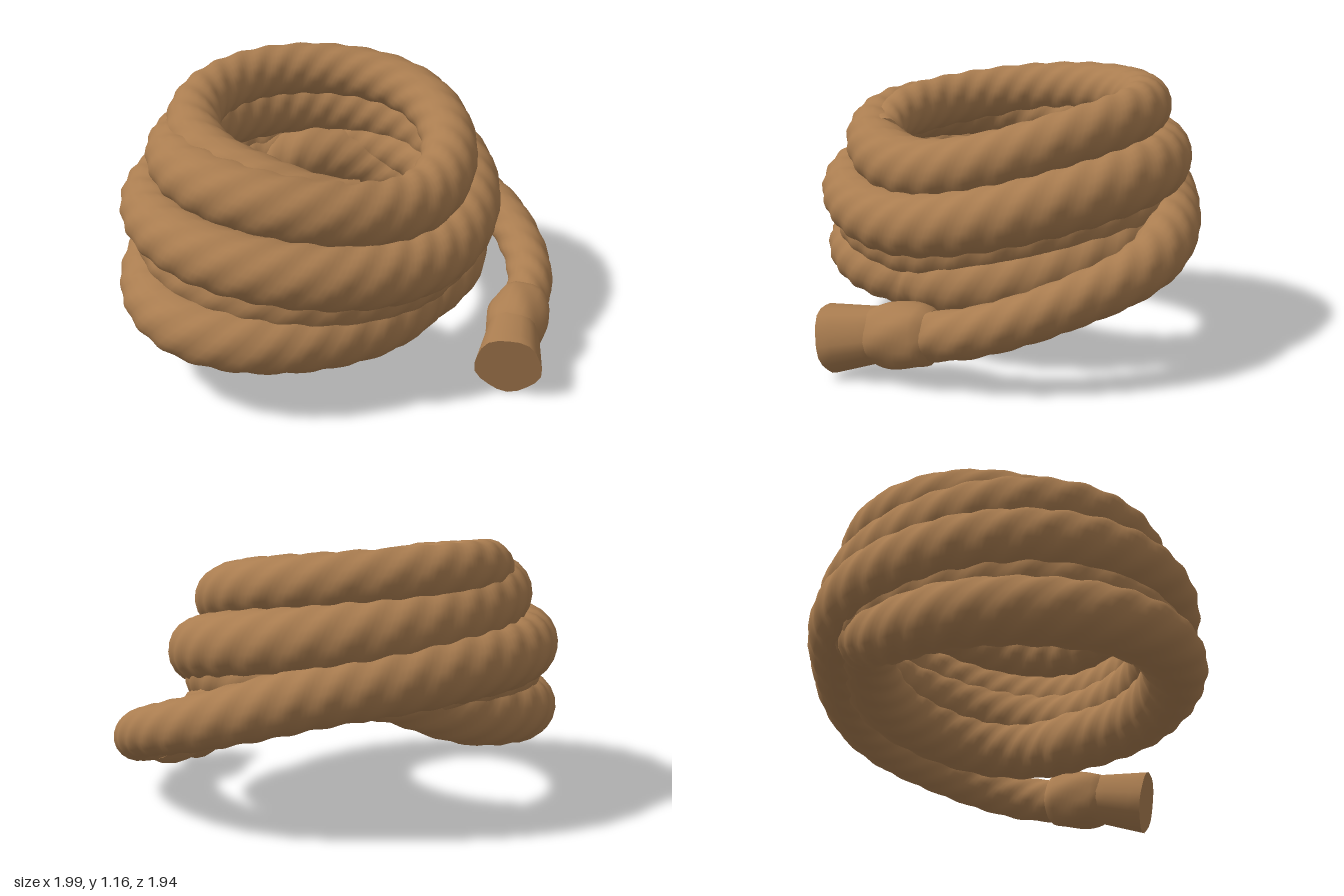
import * as THREE from 'three';

const rope = new THREE.MeshStandardMaterial({ color: 0xaa7d50 });
rope.name = 'tan rope';

const SIDES = 20;
const LOBES = 5;
const CENTRE_Z = -0.17;

// Sweep a twisted, lobed section along a curve.
function sweep(name, curve, segments, radiusAt, { twist = 44, lump = 0.033, closed = false } = {}) {
  const frames = curve.computeFrenetFrames(segments, closed);
  // whole number of twists so that a closed ring meets itself
  const turns = Math.round((curve.getLength() * twist) / (Math.PI * 2)) * Math.PI * 2;
  const pos = [], index = [];
  const rings = closed ? segments : segments + 1;
  for (let i = 0; i < rings; i++) {
    const t = i / segments;
    const p = curve.getPointAt(t);
    for (let j = 0; j < SIDES; j++) {
      const a = (j / SIDES) * Math.PI * 2;
      const r = radiusAt(t) * (1 + lump * Math.cos(LOBES * a + t * turns));
      const v = p.clone()
        .addScaledVector(frames.normals[i], Math.cos(a) * r)
        .addScaledVector(frames.binormals[i], Math.sin(a) * r);
      pos.push(v.x, v.y, v.z);
    }
  }
  for (let i = 0; i < segments; i++) {
    for (let j = 0; j < SIDES; j++) {
      const k = (j + 1) % SIDES, n = (i + 1) % rings;
      const a = i * SIDES + j, b = i * SIDES + k, c = n * SIDES + j, d = n * SIDES + k;
      index.push(a, b, c, b, d, c);
    }
  }
  // flat end caps with their own vertices
  if (!closed) {
    for (const end of [0, segments]) {
      const base = pos.length / 3;
      const p = curve.getPointAt(end / segments);
      pos.push(...pos.slice(end * SIDES * 3, (end + 1) * SIDES * 3), p.x, p.y, p.z);
      for (let j = 0; j < SIDES; j++) {
        const a = base + j, b = base + ((j + 1) % SIDES);
        if (end === 0) index.push(base + SIDES, b, a);
        else index.push(base + SIDES, a, b);
      }
    }
  }
  const geo = new THREE.BufferGeometry();
  geo.setAttribute('position', new THREE.Float32BufferAttribute(pos, 3));
  geo.setIndex(index);
  geo.computeVertexNormals();
  const mesh = new THREE.Mesh(geo, rope);
  mesh.name = name;
  return mesh;
}

// Points around the coil from evenly spaced [radius, height] keys.
// Quarter 0 is the front, 1 is +x, 2 the back, 3 is -x.
function coilPoints(keys, firstQuarter, quarters, steps) {
  const spline = new THREE.SplineCurve(keys.map(([r, y]) => new THREE.Vector2(r, y)));
  const points = [];
  for (let i = 0; i <= steps; i++) {
    const k = spline.getPoint(i / steps);
    const a = (firstQuarter + (i / steps) * quarters) * Math.PI / 2;
    points.push(new THREE.Vector3(Math.sin(a) * k.x, k.y, CENTRE_Z + Math.cos(a) * k.x));
  }
  return points;
}

// One closed turn, its keys spread evenly from the front by way of +x.
function closedTurn(name, keys, radius) {
  const points = coilPoints([...keys, keys[0]], 0, 4, 24);
  points.pop();
  return sweep(name, new THREE.CatmullRomCurve3(points, true), 150, () => radius, { closed: true });
}

export function createModel() {
  const group = new THREE.Group();
  group.name = 'coiled rope';
  const V = (x, y, z) => new THREE.Vector3(x, y, z);
  const step = THREE.MathUtils.smoothstep;

  // Main rope: loose tail, then rising turns; the thinner top end sinks into the turn below
  const tail = [
    V(0.26, 0.19, 0.71), V(0.38, 0.2, 0.67), V(0.54, 0.23, 0.6), V(0.7, 0.29, 0.46), V(0.82, 0.36, 0.27),
    V(0.88, 0.42, 0.06), V(0.87, 0.47, -0.12), V(0.78, 0.53, -0.32), V(0.62, 0.59, -0.51), V(0.42, 0.635, -0.69), V(0.21, 0.66, -0.8),
  ];
  const turns = coilPoints([
    [0.67, 0.67], [0.79, 0.68], [0.64, 0.56],
    [0.69, 0.76], [0.58, 0.86], [0.66, 0.91], [0.55, 0.78],
    [0.585, 0.98], [0.55, 1.03], [0.56, 0.95], [0.57, 0.84],
  ], 2, 10, 50);
  // stop halfway along the last quarter turn
  const mainCurve = new THREE.CatmullRomCurve3([...tail, ...turns.slice(0, 49)]);
  mainCurve.arcLengthDivisions = 1200;
  group.add(sweep('coiled strand', mainCurve, 560,
    t => 0.1 + 0.035 * step(t, 0.04, 0.18) - 0.018 * step(t, 0.7, 0.8) - 0.04 * step(t, 0.96, 1)));

  // Lowest turn, rising behind the tail at the back right
  group.add(closedTurn('bottom turn', [
    [0.53, 0.31], [0.62, 0.37], [0.65, 0.5], [0.56, 0.6],
    [0.59, 0.46], [0.74, 0.39], [0.86, 0.355], [0.68, 0.325],
  ], 0.133));

  // Hidden turn that fills the coil above it
  group.add(closedTurn('inner turn', [[0.57, 0.44], [0.64, 0.62], [0.6, 0.58], [0.75, 0.52]], 0.12));

  // Bound collar near the loose end
  const collar = new THREE.LineCurve3(V(0.41, 0.205, 0.655), V(0.15, 0.17, 0.75));
  group.add(sweep('collar', collar, 12,
    t => 0.1 + 0.035 * Math.sqrt(Math.max(0, Math.sin(Math.PI * t))), { twist: 20 }));

  // Flared end
  const flare = new THREE.LineCurve3(V(0.19, 0.18, 0.735), V(-0.01, 0.14, 0.84));
  group.add(sweep('flared end', flare, 4, t => 0.112 + 0.03 * t, { twist: 0 }));

  return group;
}
